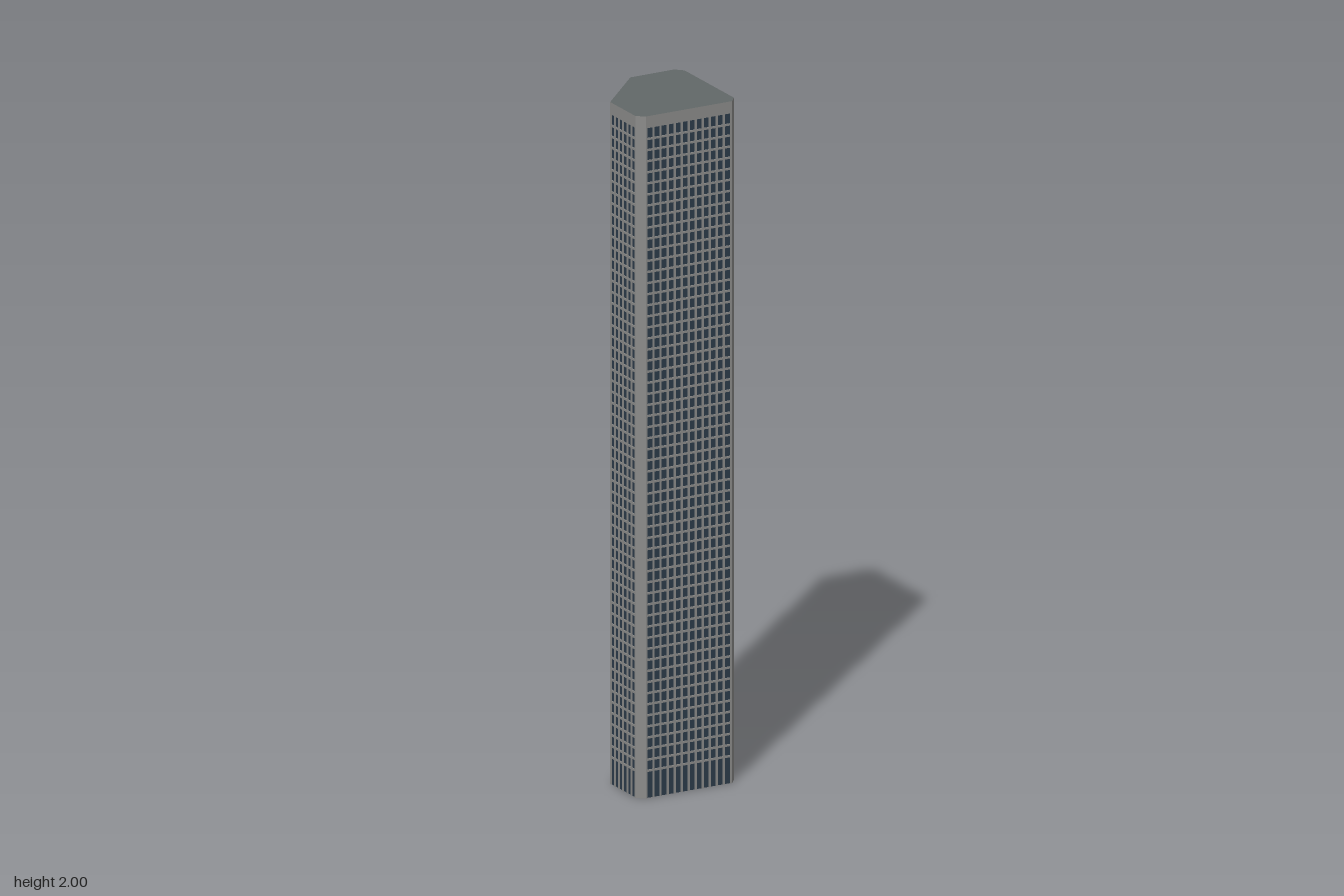
import * as THREE from 'three';
import { mergeGeometries } from 'three/addons/utils/BufferGeometryUtils.js';

// Plan outline as [x, z]; each side runs to the next point
const OUTLINE = [
  [-0.093, -0.206], [-0.063, -0.211], [0.163, -0.055], [0.172, -0.025],
  [0.013, 0.2], [-0.015, 0.208], [-0.131, 0.128], [-0.173, -0.091],
];
const HEIGHT = 2, BAND = 0.035, BASE = 0.08;
const FLOORS = 58, BAY = 0.0235;
const BAR = 0.006, DEPTH = 0.007, GLASS_INSET = 0.003;

const material = (color, side = THREE.FrontSide) => {
  const m = new THREE.MeshStandardMaterial({ color, side });
  return m;
};

export function createModel() {
  const tower = new THREE.Group();
  tower.name = 'tower';
  const frameMat = material(0x8c8c8a);
  const glassMat = material(0x2c3b4a, THREE.DoubleSide);
  const roofMat = material(0x626868);

  const addMesh = (parent, name, geometry, mat) => {
    const mesh = new THREE.Mesh(geometry, mat);
    mesh.name = name;
    parent.add(mesh);
  };

  // Box whose outer face lies on the local z = 0 plane
  const bar = (w, h, x, y) =>
    new THREE.BoxGeometry(w, h, DEPTH).translate(x, y, -DEPTH / 2);

  const wallTop = HEIGHT - BAND;

  OUTLINE.forEach(([x0, z0], i) => {
    const [x1, z1] = OUTLINE[(i + 1) % OUTLINE.length];
    const dx = x1 - x0, dz = z1 - z0, length = Math.hypot(dx, dz);
    const side = new THREE.Group();
    side.position.set((x0 + x1) / 2, 0, (z0 + z1) / 2);
    side.rotation.y = Math.atan2(dz, -dx);
    tower.add(side);

    // Narrow sides are plain corner piers
    if (length < 0.06) {
      side.name = 'cornerPier';
      addMesh(side, 'pier', bar(length, wallTop, 0, wallTop / 2), frameMat);
      return;
    }

    // Wide sides are glass behind a grid of mullions and floor bars
    side.name = 'facade';
    const glass = new THREE.PlaneGeometry(length - 0.004, wallTop)
      .translate(0, wallTop / 2, -GLASS_INSET);
    addMesh(side, 'glass', glass, glassMat);

    const bays = Math.round(length / BAY);
    const span = length - BAR;
    const mullions = [];
    for (let b = 0; b <= bays; b++) {
      mullions.push(bar(BAR, wallTop, (b / bays - 0.5) * span, wallTop / 2));
    }
    addMesh(side, 'mullions', mergeGeometries(mullions), frameMat);

    const floorBars = [];
    for (let f = 0; f < FLOORS; f++) {
      const y = BASE + (f / FLOORS) * (wallTop - BASE);
      floorBars.push(bar(length, BAR, 0, y));
    }
    addMesh(side, 'floorBars', mergeGeometries(floorBars), frameMat);
  });

  // Roof slab with its solid band around the top
  const plan = new THREE.Shape(OUTLINE.map(([x, z]) => new THREE.Vector2(x, -z)));
  const roof = new THREE.ExtrudeGeometry(plan, { depth: BAND, bevelEnabled: false })
    .rotateX(-Math.PI / 2)
    .translate(0, wallTop, 0);
  addMesh(tower, 'roof', roof, [roofMat, frameMat]);

  return tower;
}
